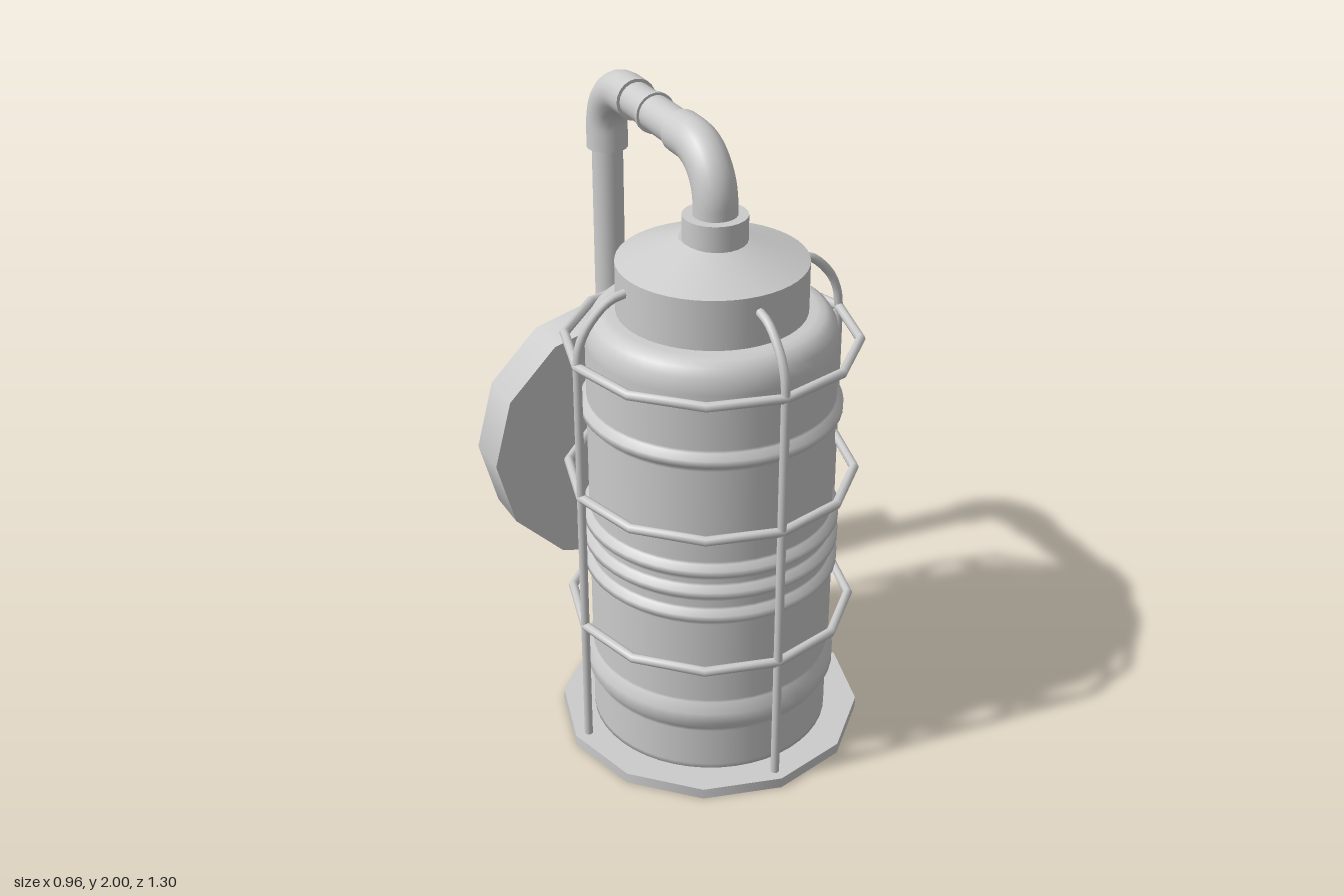
import * as THREE from 'three';

const AXIS_Z = 0.165; // lantern axis
const PIPE_Z = 0.18, BACK_Z = -0.546, PIPE_Y = 1.934; // pipe run
const material = new THREE.MeshStandardMaterial({ color: 0xcccccc });

function add(parent, name, geometry, x = 0, y = 0, z = 0) {
  const mesh = new THREE.Mesh(geometry, material);
  mesh.name = name;
  mesh.position.set(x, y, z);
  parent.add(mesh);
  return mesh;
}

// Upright cylinder between two heights
function upright(parent, name, rTop, rBottom, y0, y1, sides, z = 0) {
  return add(parent, name, new THREE.CylinderGeometry(rTop, rBottom, y1 - y0, sides), 0, (y0 + y1) / 2, z);
}

// Cylinder lying along z
function alongZ(parent, name, r, z0, z1, y, sides) {
  const mesh = add(parent, name, new THREE.CylinderGeometry(r, r, z1 - z0, sides), 0, y, (z0 + z1) / 2);
  mesh.rotation.x = Math.PI / 2;
  return mesh;
}

// Body profile with raised bands: [height, half flat, half width]
function bodyProfile() {
  const r = 0.377, R = 0.397;
  const pts = [[0, 0.03], [r, 0.03], [r, 0.05]];
  const bands = [[0.24, 0.02, 0.05], [0.615, 0.01, 0.022], [0.7, 0.01, 0.022], [0.775, 0.01, 0.022], [1.15, 0.01, 0.025]];
  for (const [y, flat, wide] of bands) {
    pts.push([r, y - wide - 0.01], [r, y - wide], [R, y - flat], [R, y + flat], [r, y + wide], [r, y + wide + 0.01]);
  }
  pts.push([r, 1.36], [r, 1.38], [0.37, 1.41], [0.355, 1.435], [0.335, 1.45], [0.31, 1.455], [0.27, 1.455]);
  return pts.map(([x, y]) => new THREE.Vector2(x, y));
}

// Elbow: vertical pipe end, rounded bend, horizontal pipe end
function elbow(parent, name, zVertical, yBottom, zEnd) {
  const bend = 0.15, dir = Math.sign(zEnd - zVertical), k = 0.45 * bend;
  const p = (y, z) => new THREE.Vector3(0, y, z);
  const path = new THREE.CurvePath();
  const a = p(PIPE_Y - bend, zVertical), b = p(PIPE_Y, zVertical + dir * bend);
  path.add(new THREE.LineCurve3(p(yBottom, zVertical), a));
  path.add(new THREE.CubicBezierCurve3(a, p(a.y + bend - k, zVertical), p(PIPE_Y, zVertical + dir * k), b));
  path.add(new THREE.LineCurve3(b, p(PIPE_Y, zEnd)));
  add(parent, name, new THREE.TubeGeometry(path, 24, 0.066, 20));
  // End caps
  const lower = add(parent, name + 'LowerEnd', new THREE.CircleGeometry(0.066, 20), 0, yBottom, zVertical);
  lower.rotation.x = Math.PI / 2;
  const side = add(parent, name + 'SideEnd', new THREE.CircleGeometry(0.066, 20), 0, PIPE_Y, zEnd);
  side.rotation.y = dir > 0 ? 0 : Math.PI;
}

export function createModel() {
  const model = new THREE.Group();
  model.name = 'wallLantern';

  const lantern = new THREE.Group();
  lantern.name = 'lantern';
  lantern.position.z = AXIS_Z;
  model.add(lantern);

  // Base, glass body and cap
  upright(lantern, 'basePlate', 0.482, 0.482, 0, 0.035, 12);
  add(lantern, 'body', new THREE.LatheGeometry(bodyProfile(), 48));
  upright(lantern, 'cap', 0.285, 0.285, 1.44, 1.61, 48);
  upright(lantern, 'capCone', 0.1, 0.285, 1.61, 1.68, 48);

  // Guard cage: rings and bent bars
  const cage = new THREE.Group();
  cage.name = 'cage';
  lantern.add(cage);
  for (const y of [0.455, 0.92, 1.36]) {
    const ring = add(cage, 'cageRing', new THREE.TorusGeometry(0.439, 0.015, 8, 12), 0, y, 0);
    ring.rotation.x = Math.PI / 2;
  }
  const barPoints = [[0.438, 1.36], [0.43, 1.42], [0.402, 1.48], [0.335, 1.545], [0.27, 1.562]]
    .map(([r, y]) => new THREE.Vector3(r, y, 0));
  const barTop = new THREE.TubeGeometry(new THREE.CatmullRomCurve3(barPoints), 12, 0.014, 8);
  for (let i = 0; i < 4; i++) {
    const bar = new THREE.Group();
    bar.name = 'cageBar';
    bar.rotation.y = i * Math.PI / 2;
    add(bar, 'barUpright', new THREE.CylinderGeometry(0.014, 0.014, 1.34, 8), 0.438, 0.69, 0);
    add(bar, 'barBend', barTop);
    cage.add(bar);
  }

  // Pipe arm
  const arm = new THREE.Group();
  arm.name = 'pipeArm';
  model.add(arm);
  upright(arm, 'pipeCollar', 0.097, 0.097, 1.665, 1.755, 24, PIPE_Z);
  elbow(arm, 'frontElbow', PIPE_Z, 1.74, -0.035);
  alongZ(arm, 'crossPipe', 0.056, -0.34, -0.025, PIPE_Y, 20);
  alongZ(arm, 'crossPipeRing', 0.064, -0.212, -0.198, PIPE_Y, 20);
  elbow(arm, 'backElbow', BACK_Z, 1.715, -0.33);
  upright(arm, 'dropPipe', 0.05, 0.05, 1.08, 1.73, 20, BACK_Z);

  // Wall mount disc
  alongZ(model, 'wallMount', 0.457, -0.65, -0.49, 0.682, 12);

  return model;
}
